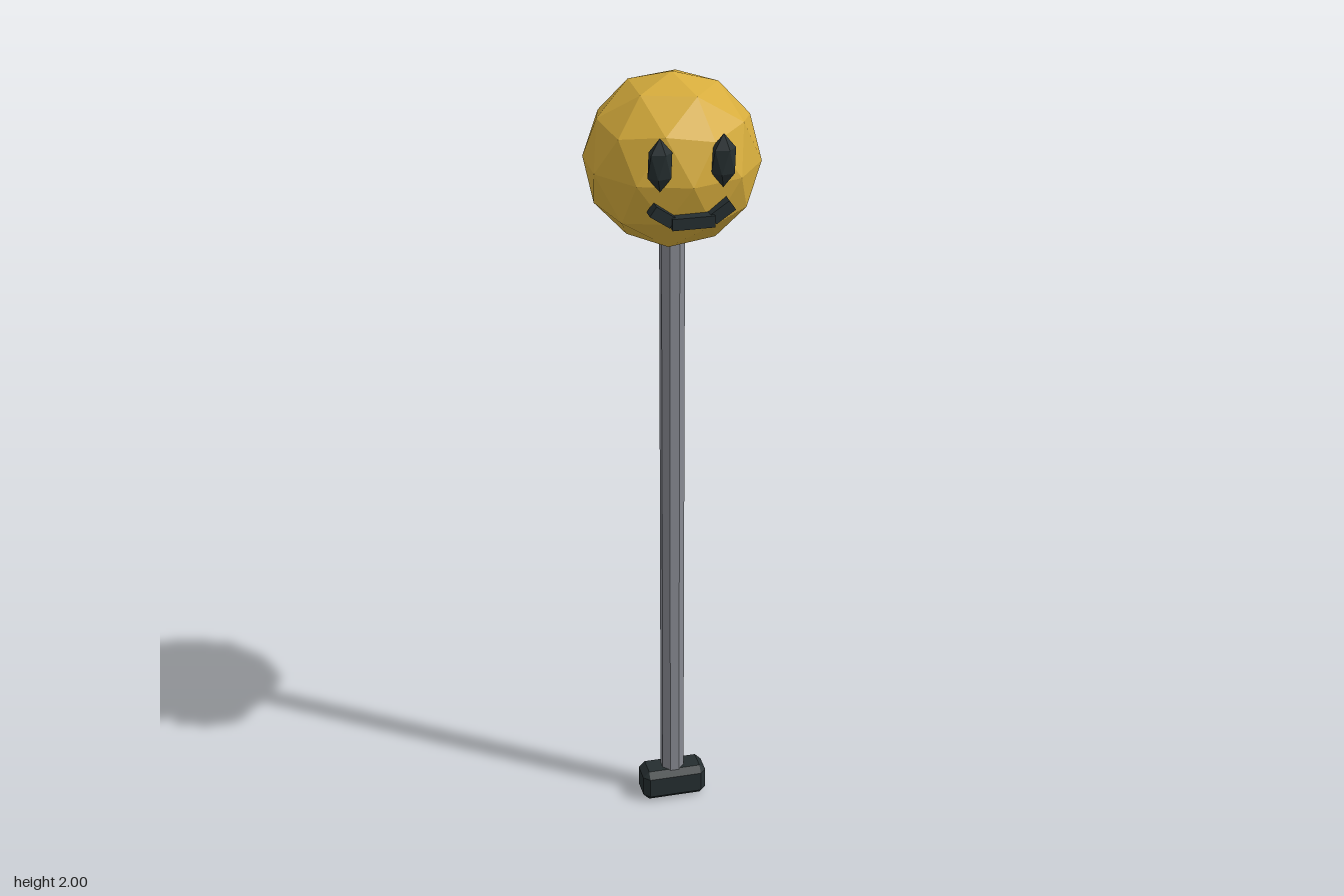
import * as THREE from 'three';
import { ConvexGeometry } from 'three/addons/geometries/ConvexGeometry.js';

const flat = (name, color) => {
  const m = new THREE.MeshStandardMaterial({ color, flatShading: true });
  m.name = name;
  return m;
};

// Faceted ball with a corner straight up and a five-fold ring around it
function facetedBall(detail) {
  const v = [0, 1, 0];
  const faces = [];
  const h = 1 / Math.sqrt(5), r = 2 / Math.sqrt(5);
  for (let i = 0; i < 10; i++) {
    const a = (i * Math.PI) / 5;
    v.push(r * Math.cos(a), i % 2 ? -h : h, r * Math.sin(a));
  }
  v.push(0, -1, 0);
  const ring = (i) => 1 + (i % 10);
  for (let i = 0; i < 10; i += 2) {
    faces.push(0, ring(i + 2), ring(i));
    faces.push(ring(i), ring(i + 2), ring(i + 1));
    faces.push(ring(i + 1), ring(i + 2), ring(i + 3));
    faces.push(11, ring(i + 1), ring(i + 3));
  }
  return new THREE.PolyhedronGeometry(v, faces, 1, detail);
}

// Box with every edge cut off at an angle
function chamferedBox(w, h, d, c) {
  const half = [w / 2, h / 2, d / 2];
  const points = [];
  for (const x of [-1, 1]) for (const y of [-1, 1]) for (const z of [-1, 1])
    for (let face = 0; face < 3; face++) {
      const p = half.map((s, i) => (i === face ? s : s - c));
      points.push(new THREE.Vector3(x * p[0], y * p[1], z * p[2]));
    }
  return new ConvexGeometry(points);
}

export function createModel() {
  const model = new THREE.Group();
  model.name = 'smileyStick';
  const yellow = flat('yellow', 0xd6ac3c);
  const grey = flat('grey', 0x878a92);
  const dark = flat('dark', 0x252e30);

  const add = (name, geometry, material, x, y, z) => {
    const mesh = new THREE.Mesh(geometry, material);
    mesh.name = name;
    mesh.position.set(x, y, z);
    model.add(mesh);
    return mesh;
  };

  // Foot and pole
  add('foot', chamferedBox(0.17, 0.086, 0.084, 0.016), dark, 0, 0.043, 0);
  const pole = add('pole', new THREE.CylinderGeometry(0.031, 0.031, 1.56, 8), grey, 0, 0.84, 0);
  pole.rotation.y = Math.PI / 8;

  // Head
  add('head', facetedBall(1), yellow, 0, 1.79, -0.003).scale.setScalar(0.21);

  // Face
  for (const [side, s] of [['left', 1], ['right', -1]]) {
    add(side + 'Eye', facetedBall(0), dark, s * 0.074, 1.844, 0.187).scale.set(0.032, 0.064, 0.024);
    const corner = add(side + 'MouthCorner', new THREE.BoxGeometry(0.056, 0.028, 0.032), dark, s * 0.07, 1.724, 0.185);
    corner.rotation.z = s * 0.6;
  }
  add('mouth', new THREE.BoxGeometry(0.1, 0.028, 0.044), dark, 0, 1.707, 0.188);
  return model;
}
